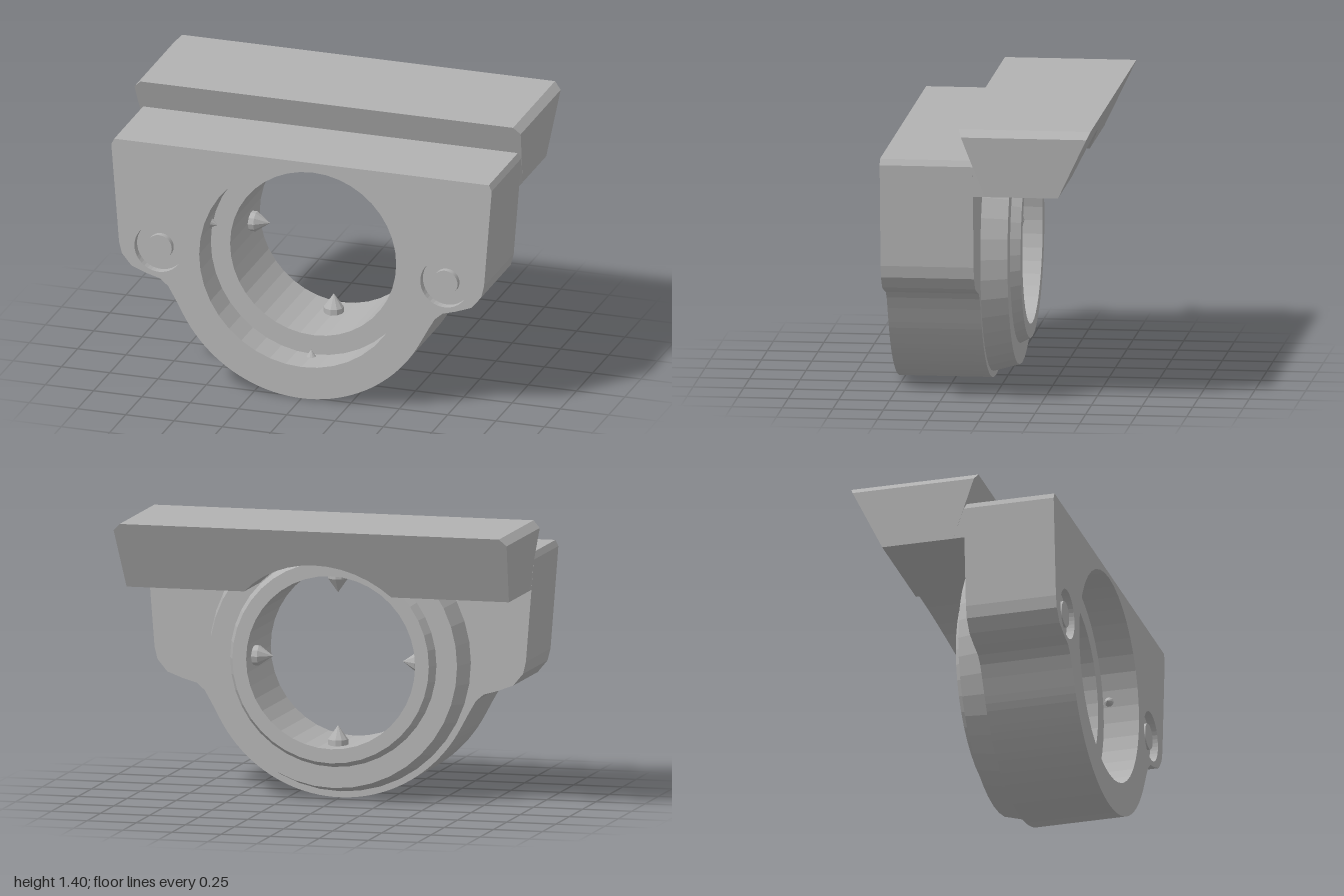
import * as THREE from 'three';

const CY = 0.695; // height of the bore axis
const grey = new THREE.MeshStandardMaterial({ color: 0xb2b2b2 });
grey.name = 'grey';

export function createModel() {
  const group = new THREE.Group();
  const add = (name, geometry) => {
    const mesh = new THREE.Mesh(geometry, grey);
    mesh.name = name;
    group.add(mesh);
    return mesh;
  };
  const flat = (g) => {
    const f = g.index ? g.toNonIndexed() : g;
    f.computeVertexNormals();
    return f;
  };
  const extrude = (shape, z0, z1, curveSegments = 20) => {
    const g = new THREE.ExtrudeGeometry(shape, { depth: z1 - z0, bevelEnabled: false, curveSegments });
    return g.translate(0, 0, z0);
  };
  const circle = (x, y, r) => new THREE.Path().absarc(x, y, r, 0, Math.PI * 2, false);

  // Housing outline: shouldered plate with a round belly
  const half = [[0.97, 1.25], [0.985, 1.22], [0.945, 0.71], [0.93, 0.65], [0.88, 0.59],
    [0.80, 0.56], [0.73, 0.54], [0.69, 0.505], [0.655, 0.445]];
  const outline = (holes) => {
    const s = new THREE.Shape();
    half.slice().reverse().forEach(([x, y], i) => (i ? s.lineTo(x, y) : s.moveTo(x, y)));
    half.forEach(([x, y]) => s.lineTo(-x, y));
    const a = 28 * Math.PI / 180;
    s.absarc(0, CY, CY, Math.PI + a, Math.PI * 2 - a, false);
    s.holes.push(...holes);
    return s;
  };
  const boltX = 0.74;
  add('housingFront', extrude(outline([circle(0, CY, 0.53),
    circle(boltX, 0.7, 0.125), circle(-boltX, 0.7, 0.125)]), 0.48, 0.52));
  add('housingMiddle', extrude(outline([circle(0, CY, 0.53)]), 0.34, 0.48));
  add('housingBack', extrude(outline([circle(0, CY, 0.43)]), 0.06, 0.34));

  // Studs inside the shallow counterbores
  for (const side of [1, -1]) {
    const stud = new THREE.CylinderGeometry(0.065, 0.065, 0.04, 24).rotateX(Math.PI / 2);
    add(side > 0 ? 'leftStud' : 'rightStud', stud).position.set(side * boltX, 0.7, 0.49);
  }

  // Stepped collar behind the housing, as [radius, distance backwards]
  const collar = [[0.43, -0.06], [0.665, -0.06], [0.63, 0.07], [0.525, 0.07],
    [0.50, 0.12], [0.43, 0.12], [0.43, -0.06]].map(([r, y]) => new THREE.Vector2(r, y));
  add('collar', flat(new THREE.LatheGeometry(collar, 40).rotateX(-Math.PI / 2))).position.y = CY;

  // Top rail profile with a round clearance cut in its underside
  const notched = (side) => {
    const s = new THREE.Shape();
    side.forEach(([x, y], i) => (i ? s.lineTo(x, y) : s.moveTo(x, y)));
    side.slice().reverse().forEach(([x, y]) => s.lineTo(-x, y));
    const phi = Math.asin(0.375 / 0.53);
    s.absarc(0, CY, 0.53, Math.PI - phi, phi, true);
    return s;
  };
  // Dovetail rail: front and back faces lean outwards towards the top
  const rail = extrude(notched([[0.973, 1.07], [1, 1.37], [0.965, 1.405]]), 0, 1, 6);
  const p = rail.attributes.position;
  for (let i = 0; i < p.count; i++) {
    const drop = 1.405 - p.getY(i);
    p.setZ(i, THREE.MathUtils.lerp(-0.52 + drop * 0.478, 0.13 - drop * 0.378, p.getZ(i)));
  }
  add('rail', flat(rail));
  // Web joining the rail to the housing
  add('railWeb', extrude(notched([[0.973, 1.07], [0.985, 1.23]]), -0.05, 0.06, 6));

  // Pointed pins facing the bore axis
  const pin = (name, angle, radius, z) => {
    const profile = [[0.05, -0.03], [0.05, 0.03], [0, 0.1]].map(([r, y]) => new THREE.Vector2(r, y));
    const mesh = add(name, flat(new THREE.LatheGeometry(profile, 10)));
    mesh.position.set(radius * Math.cos(angle), CY + radius * Math.sin(angle), z);
    mesh.rotation.z = angle + Math.PI / 2;
  };
  for (let i = 0; i < 4; i++) pin('borePin', i * Math.PI / 2, 0.43, 0.02);
  // Small tips barely breaking through the wider front bore
  for (const deg of [-90, 12, 168]) pin('frontPinTip', deg * Math.PI / 180, 0.595, 0.37);

  return group;
}
